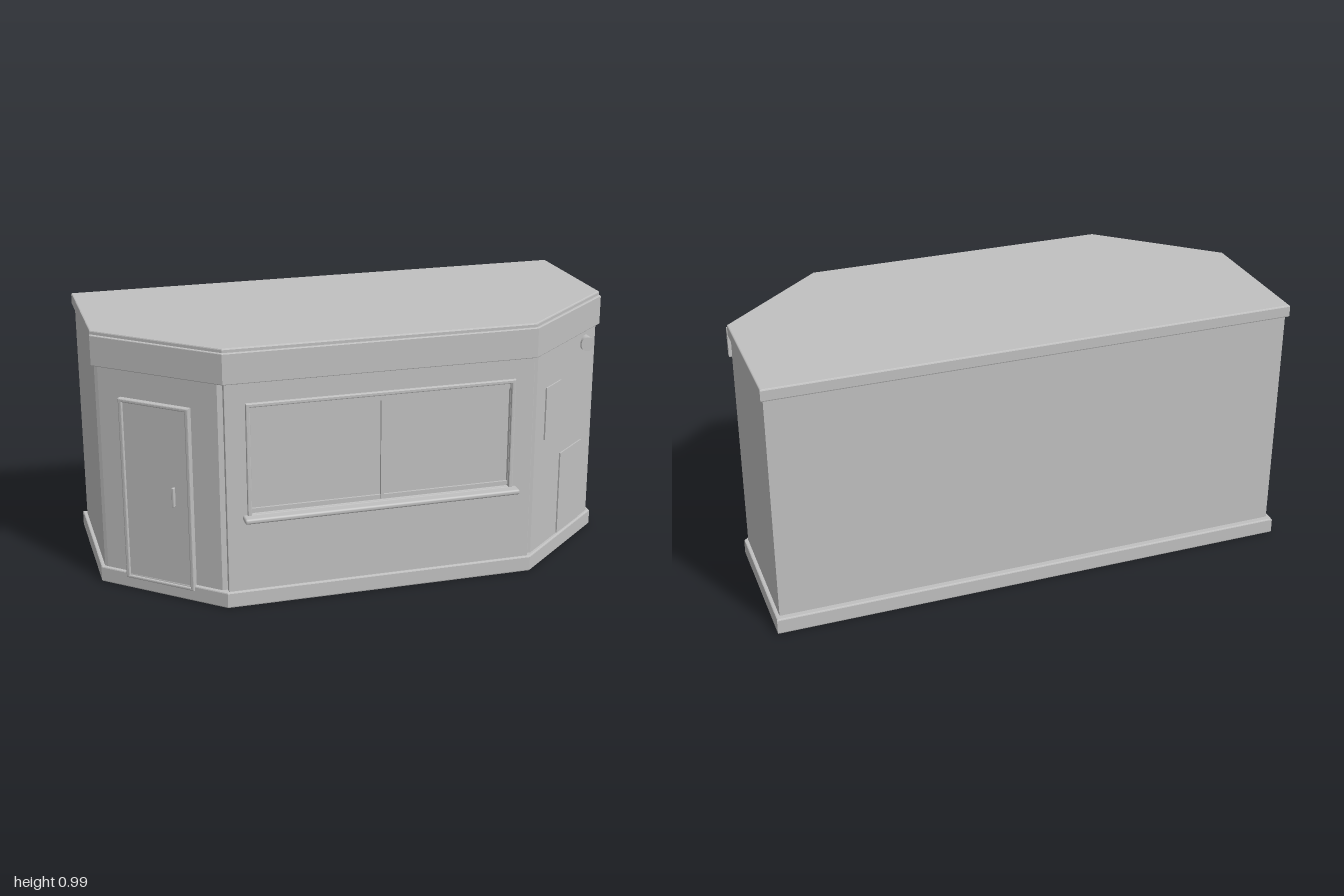
import * as THREE from 'three';
import { RoundedBoxGeometry } from 'three/addons/geometries/RoundedBoxGeometry.js';

const grey = new THREE.MeshStandardMaterial({ color: 0xc0c0c0 });
grey.name = 'plain grey';

function add(parent, name, geometry, x = 0, y = 0, z = 0) {
  const mesh = new THREE.Mesh(geometry, grey);
  mesh.name = name;
  mesh.position.set(x, y, z);
  parent.add(mesh);
  return mesh;
}

// Mirrored plan: half outline of [x, z] points from front to back, extruded upwards
function slab(half, y0, y1, bevel) {
  const outline = [...half, ...half.map(([x, z]) => [-x, z]).reverse()];
  const shape = new THREE.Shape(outline.map(([x, z]) => new THREE.Vector2(x, -z)));
  const g = new THREE.ExtrudeGeometry(shape, {
    depth: y1 - y0 - 2 * bevel, bevelEnabled: bevel > 0, bevelSize: bevel,
    bevelThickness: bevel, bevelOffset: -bevel, bevelSegments: 2,
  });
  return g.rotateX(-Math.PI / 2).translate(0, y0 + bevel, 0);
}

function rect(path, x0, y0, x1, y1) {
  path.moveTo(x0, y0);
  path.lineTo(x1, y0);
  path.lineTo(x1, y1);
  path.lineTo(x0, y1);
  path.closePath();
  return path;
}

// Rectangular border in the xy plane with an opening
function border(outer, inner, depth, bevel = 0) {
  const shape = rect(new THREE.Shape(), ...outer);
  shape.holes.push(rect(new THREE.Path(), ...inner));
  return new THREE.ExtrudeGeometry(shape, {
    depth: depth - bevel, bevelEnabled: bevel > 0, bevelSize: bevel,
    bevelThickness: bevel, bevelOffset: -bevel, bevelSegments: 2,
  });
}

function box(w, h, d, r = 0) {
  return r ? new RoundedBoxGeometry(w, h, d, 2, r) : new THREE.BoxGeometry(w, h, d);
}

export function createModel() {
  const model = new THREE.Group();
  model.name = 'kiosk';

  // Plinth, walls and roof
  add(model, 'plinth', slab([[0.59, 0.445], [1, 0.083], [1, -0.48]], 0, 0.062, 0.005));
  add(model, 'walls', slab([[0.603, 0.415], [0.975, 0.089], [0.985, 0.078], [0.985, -0.456]], 0.05, 0.95, 0));
  add(model, 'frontWall', border([-0.583, 0.055, 0.583, 0.95], [-0.49, 0.36, 0.49, 0.765], 0.025, 0.002), 0, 0, 0.41);
  add(model, 'roof', slab([[0.585, 0.435], [0.995, 0.075], [0.995, -0.469]], 0.938, 0.985, 0.005));

  // Fascia along the three front sides
  add(model, 'fascia', slab([[0.588, 0.445], [0.997, 0.088], [0.997, 0.073], [0.96, 0.073], [0.57, 0.41]], 0.855, 0.97, 0.003));

  // Sliding serving window
  const win = new THREE.Group();
  win.name = 'servingWindow';
  model.add(win);
  add(win, 'windowFrame', border([-0.508, 0.345, 0.508, 0.78], [-0.492, 0.358, 0.492, 0.764], 0.015, 0.004), 0, 0, 0.43);
  add(win, 'glass', box(0.98, 0.405, 0.004), 0, 0.5625, 0.419);
  add(win, 'topRail', box(0.98, 0.022, 0.012), 0, 0.753, 0.424);
  add(win, 'bottomRail', box(0.98, 0.018, 0.012), 0, 0.368, 0.424);
  add(win, 'mullion', box(0.012, 0.4, 0.016), 0, 0.562, 0.424);
  add(win, 'sill', box(1.05, 0.02, 0.055, 0.008), 0, 0.346, 0.4525);

  // Angled faces: local z points straight out of the wall
  const angle = Math.atan2(0.659, 0.752);
  const [rightFace, leftFace] = [1, -1].map((s) => {
    const face = new THREE.Group();
    face.name = s > 0 ? 'leftAngledSide' : 'rightAngledSide';
    face.position.set(0.7825 * s, 0, 0.2575);
    face.rotation.y = angle * s;
    model.add(face);
    return face;
  });

  // Door
  add(leftFace, 'doorFrame', border([-0.163, 0.043, 0.13, 0.75], [-0.147, 0.055, 0.114, 0.736], 0.02, 0.004));
  add(leftFace, 'door', box(0.265, 0.685, 0.012), -0.0165, 0.395, 0.006);
  add(leftFace, 'doorHandle', box(0.01, 0.075, 0.014, 0.003), 0.057, 0.403, 0.019);

  // Notice panel and service hatch
  add(rightFace, 'noticePanel', box(0.126, 0.207, 0.012), -0.1, 0.604, 0);
  add(rightFace, 'serviceHatch', box(0.193, 0.335, 0.012), 0.08, 0.233, 0);

  // Round lamp
  const lamp = new THREE.CylinderGeometry(0.028, 0.028, 0.05, 24).rotateX(Math.PI / 2);
  add(model, 'lamp', lamp, 0.91, 0.805, 0.155);

  return model;
}
